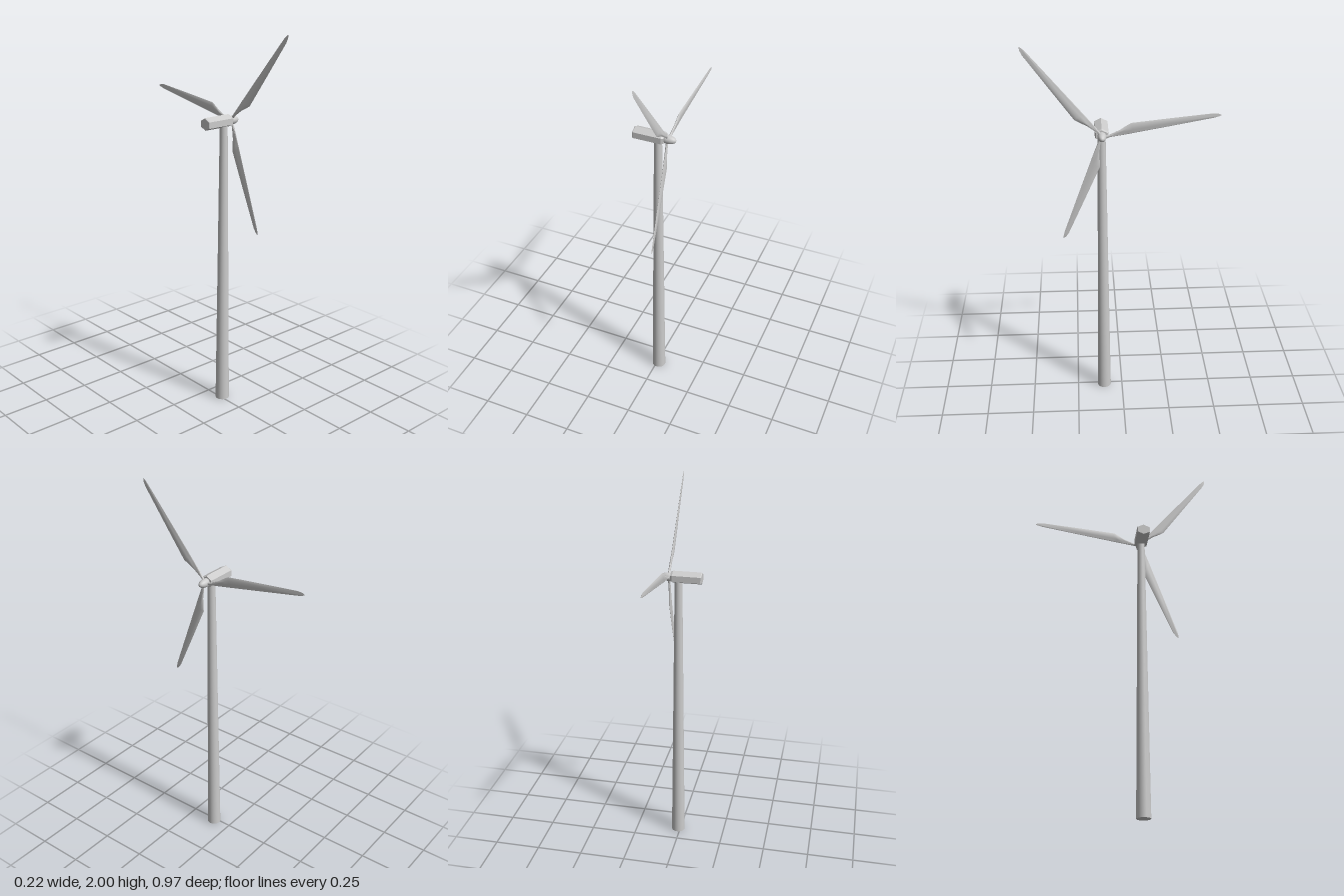
import * as THREE from 'three';
import { toCreasedNormals } from 'three/addons/utils/BufferGeometryUtils.js';

const HUB = { y: 1.547, z: 0.101 };
const material = new THREE.MeshStandardMaterial({ color: 0xcccccc });

function part(name, geometry) {
  const mesh = new THREE.Mesh(geometry, material);
  mesh.name = name;
  return mesh;
}

// Skins a list of equal-sized rings and closes both ends.
// Rings run counter-clockwise seen from the end of the loft.
function loft(rings, crease) {
  const n = rings[0].length;
  const positions = rings.flat(2);
  const index = [];
  for (let r = 0; r < rings.length - 1; r++) {
    for (let i = 0; i < n; i++) {
      const a = r * n + i, b = r * n + (i + 1) % n;
      index.push(a, b, b + n, a, b + n, a + n);
    }
  }
  const last = (rings.length - 1) * n;
  for (let i = 1; i < n - 1; i++) {
    index.push(0, i + 1, i, last, last + i, last + i + 1);
  }
  const geometry = new THREE.BufferGeometry();
  geometry.setAttribute('position', new THREE.Float32BufferAttribute(positions, 3));
  geometry.setIndex(index);
  return toCreasedNormals(geometry, crease);
}

// Blade along +x, chord in y, thickness in z
function bladeGeometry() {
  // distance from hub, lower edge, upper edge, thickness
  const stations = [
    [0.005, -0.008, 0.004, 0.012],
    [0.035, -0.009, 0.004, 0.012],
    [0.092, -0.0105, 0.018, 0.011],
    [0.13, -0.011, 0.034, 0.01],
    [0.155, -0.011, 0.043, 0.009],
    [0.35, -0.012, 0.028, 0.006],
    [0.558, -0.0125, 0.011, 0.003],
    [0.583, -0.01, 0.004, 0.002],
    [0.594, -0.007, -0.004, 0.001],
  ];
  const rings = stations.map(([x, low, high, thick]) => {
    const ring = [];
    for (let i = 0; i < 10; i++) {
      const a = (i / 10) * Math.PI * 2;
      ring.push([x, (low + high) / 2 + Math.cos(a) * (high - low) / 2, Math.sin(a) * thick / 2]);
    }
    return ring;
  });
  return loft(rings, 0.9);
}

// Six-sided housing with a ridge on top and narrowed ends, along z
function nacelleGeometry() {
  const outline = [[0, 0.034], [-0.034, 0.017], [-0.034, -0.015], [0, -0.03], [0.034, -0.015], [0.034, 0.017]];
  const stations = [[-0.111, 0.92], [-0.107, 1], [0.04, 1], [0.05, 0.85]];
  return loft(stations.map(([z, s]) => outline.map(([x, y]) => [x * s, y * s, z])), 0.3);
}

// Rounded nose cone, its axis along z
function spinnerGeometry() {
  const profile = [[0, 0.046], [0.02, 0.046], [0.022, 0.056]].map(([r, h]) => new THREE.Vector2(r, h));
  for (let i = 0; i <= 10; i++) {
    const a = (i / 10) * Math.PI / 2;
    profile.push(new THREE.Vector2(i === 10 ? 0 : 0.022 * Math.cos(a), 0.063 + 0.044 * Math.sin(a)));
  }
  return new THREE.LatheGeometry(profile, 24).rotateX(Math.PI / 2);
}

export function createModel() {
  const model = new THREE.Group();
  model.name = 'windTurbine';

  // Tapered tower
  const height = 1.53;
  const tower = part('tower', new THREE.CylinderGeometry(0.02, 0.037, height, 24));
  tower.position.set(0.012, height / 2, HUB.z);
  model.add(tower);

  // Head: built facing +z, then turned to face +x
  const head = new THREE.Group();
  head.name = 'head';
  head.position.set(0, HUB.y, HUB.z);
  head.rotation.y = Math.PI / 2;
  head.add(part('nacelle', nacelleGeometry()), part('spinner', spinnerGeometry()));

  // Three blades, a third of a turn apart
  const rotor = new THREE.Group();
  rotor.name = 'rotor';
  rotor.position.z = 0.063;
  const geometry = bladeGeometry();
  for (let i = 0; i < 3; i++) {
    const blade = part('blade' + (i + 1), geometry);
    blade.rotation.z = THREE.MathUtils.degToRad(10.5 + i * 120);
    rotor.add(blade);
  }
  head.add(rotor);
  model.add(head);
  return model;
}
